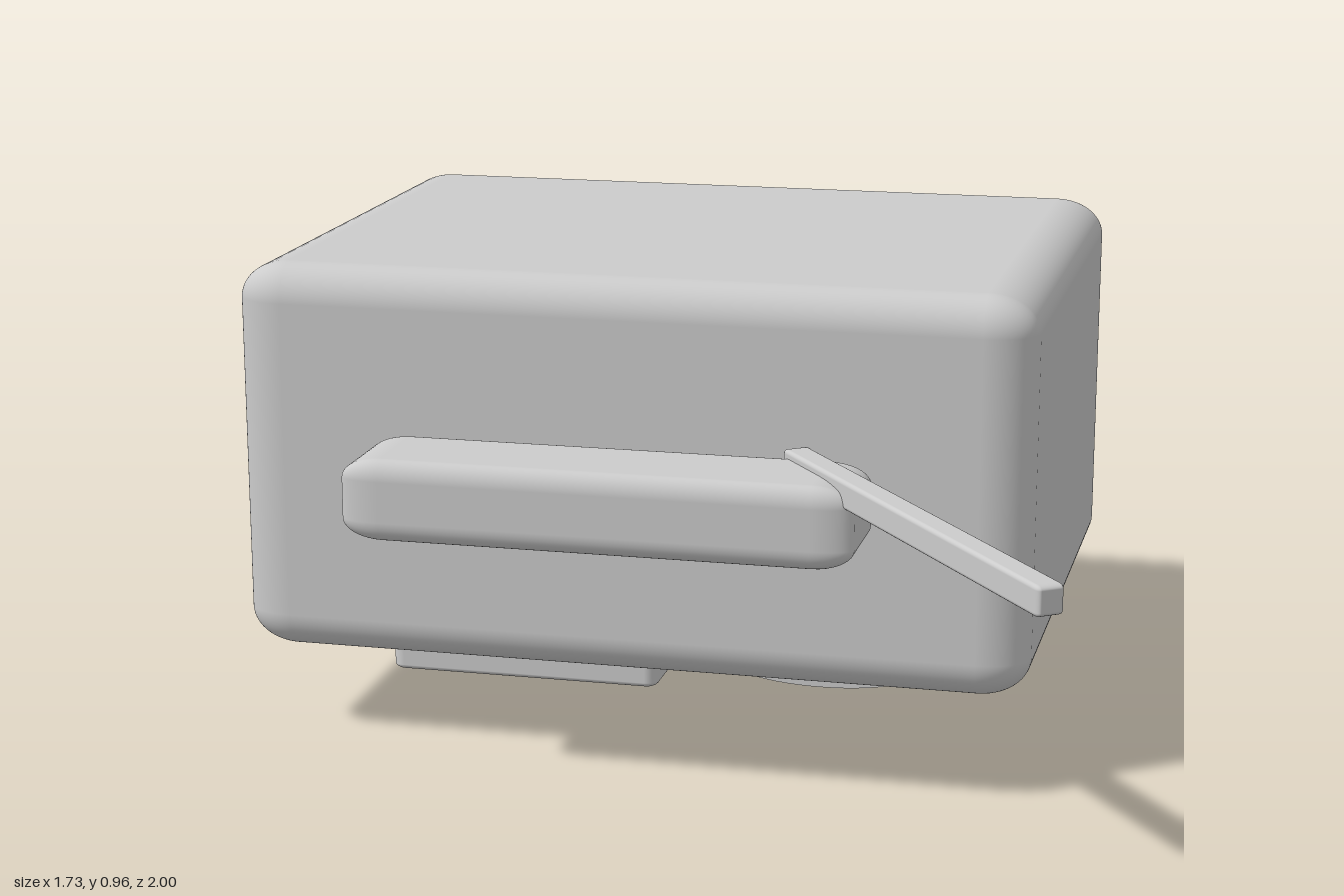
import * as THREE from 'three';
import { RoundedBoxGeometry } from 'three/addons/geometries/RoundedBoxGeometry.js';

const material = new THREE.MeshStandardMaterial({ color: 0xcccccc });

// Box between two corners, edges rounded by a different radius along each axis
function softBox(min, max, radii, segments = 5) {
  const size = max.map((m, i) => m - min[i]);
  const geo = new RoundedBoxGeometry(...size.map((s, i) => s / radii[i]), segments, 1);
  geo.scale(...radii);
  geo.translate(...min.map((m, i) => (m + max[i]) / 2));
  return geo;
}

export function createModel() {
  const model = new THREE.Group();
  const add = (name, geometry) => {
    const mesh = new THREE.Mesh(geometry, material);
    mesh.name = name;
    model.add(mesh);
    return mesh;
  };

  // Main block
  add('body', softBox([-0.87, 0.178, -1], [0.715, 0.965, 0.19], [0.1, 0.075, 0.07], 8));

  // Bar floating just ahead of the front face
  add('frontBar', softBox([-0.572, 0.49, 0.205], [0.418, 0.65, 0.435], [0.08, 0.04, 0.03]));

  // Thin lever swinging out from the front face
  const start = new THREE.Vector2(0.262, 0.195), end = new THREE.Vector2(0.848, 0.985);
  const span = end.clone().sub(start), half = span.length() / 2;
  const lever = add('lever', softBox([-half, -0.027, -0.026], [half, 0.027, 0.026], [0.014, 0.008, 0.008], 3));
  lever.position.set((start.x + end.x) / 2, 0.638, (start.y + end.y) / 2);
  lever.rotation.y = -Math.atan2(span.y, span.x);

  // Flat plate under the body
  add('basePlate', softBox([-0.605, 0.104, -0.69], [-0.048, 0.2, 0.045], [0.025, 0.012, 0.025]));

  // Lens-shaped pad: an elliptical cylinder lying along z
  const pad = new THREE.CylinderGeometry(1, 1, 0.37, 48);
  pad.rotateX(Math.PI / 2);
  pad.scale(0.182, 0.038, 1);
  add('lensPad', pad).position.set(0.271, 0.142, -0.235);

  // Two oval feet with softened lower rims
  const footProfile = [[0, 0], [0.85, 0], [0.94, 0.004], [0.985, 0.012], [1, 0.024], [1, 0.2], [0, 0.2]]
    .map(([r, y]) => new THREE.Vector2(r, y));
  for (const [name, x] of [['rightFoot', 0.137], ['leftFoot', 0.401]]) {
    const foot = new THREE.LatheGeometry(footProfile, 40);
    foot.scale(0.085, 1, 0.065);
    add(name, foot).position.set(x, 0, -0.684);
  }

  return model;
}
